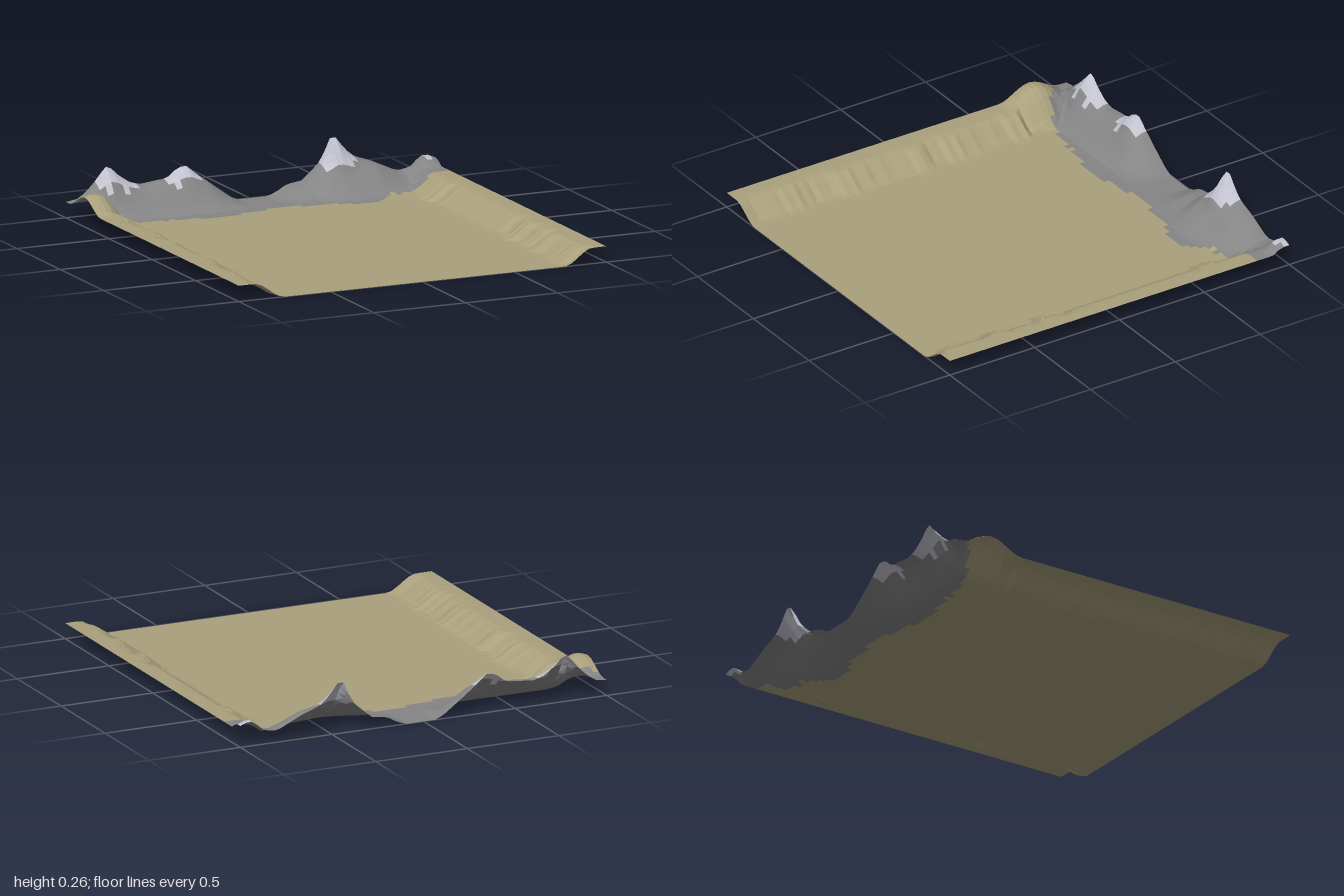
import * as THREE from 'three';

const N = 64; // grid cells per side

// Smooth interpolation through [position, value] pairs
function sample(points, t) {
  if (t <= points[0][0]) return points[0][1];
  for (let i = 1; i < points.length; i++) {
    const [a, va] = points[i - 1], [b, vb] = points[i];
    if (t <= b) return va + (vb - va) * (t - a) / (b - a);
  }
  return points[points.length - 1][1];
}
const smooth = THREE.MathUtils.smoothstep;

// Seeded value in 0..1 for an integer
function hash(i) {
  const s = Math.sin(i * 127.1 + 11.7) * 43758.5453;
  return s - Math.floor(s);
}

// Ridge heights along the back edge
const ridge = [[-1, 0.08], [-0.93, 0.09], [-0.87, 0.14], [-0.83, 0.18], [-0.79, 0.235], [-0.765, 0.24],
  [-0.73, 0.20], [-0.66, 0.15], [-0.6, 0.13], [-0.5, 0.142], [-0.45, 0.145], [-0.39, 0.195], [-0.345, 0.198],
  [-0.28, 0.145], [-0.2, 0.085], [-0.12, 0.027], [-0.07, 0], [0.1, 0], [0.15, 0.02], [0.2, 0.05], [0.28, 0.06],
  [0.33, 0.1], [0.39, 0.155], [0.435, 0.26], [0.47, 0.26], [0.52, 0.195], [0.57, 0.155], [0.66, 0.125],
  [0.8, 0.06], [0.87, 0.07], [0.92, 0.115], [0.95, 0.13], [1, 0.11]];

// Depth at which the mountain foot meets the plain
const foot = [[-1, -0.82], [-0.75, -0.78], [-0.4, -0.77], [-0.1, -0.78], [0.2, -0.75],
  [0.45, -0.7], [0.62, -0.73], [0.8, -0.78], [1, -0.78]];

// Border between bare rock and sandy ground
const border = [[-1, -0.91], [-0.9, -0.84], [-0.78, -0.79], [-0.6, -0.74], [-0.45, -0.72], [-0.4, -0.695],
  [-0.2, -0.695], [-0.1, -0.72], [0.05, -0.75], [0.25, -0.72], [0.4, -0.68], [0.5, -0.66],
  [0.57, -0.67], [0.65, -0.76], [0.8, -0.78], [1, -0.82]];

// Snowy summits: x, half width, front limit
const summits = [[-0.77, 0.07, -0.92], [-0.66, 0.05, -0.93], [-0.37, 0.09, -0.93], [0.46, 0.09, -0.92], [0.98, 0.03, -0.95]];

// Raised side banks with an eroded inner slope
function bankHeight(x, z) {
  const row = Math.round((z + 1) * N / 2), block = Math.floor(row / 3);
  const left = x < 0;
  const rough = left ? 0.045
    : (z > 0.55 || (z > 0.2 && z < 0.45) || (z < -0.45 && z > -0.65)) ? 0.05 : 0;
  const shift = (hash(block + (left ? 0 : 100)) + 0.4 * hash(row + 300) - 0.7) * rough;
  const slope = Math.abs(x) + shift * smooth(0.98 - Math.abs(x), 0, 0.08);
  return 0.08 * smooth(slope, left ? 0.755 : 0.77, 0.92);
}

function mountainHeight(x, z) {
  const top = sample(ridge, x), f = sample(foot, x);
  const base = Math.min(top, 0.13);
  const wall = 1 - smooth(z, -0.97, f);
  const peak = 1 - smooth(z, -1.04, -0.85);
  return base * wall + (top - base) * peak / (1 - smooth(-1, -1.04, -0.85));
}

// Sandy knoll in the back corner
function knollHeight(x, z) {
  const r = Math.hypot((x + 0.95) / 0.2, (z + 0.78) / 0.19);
  return r < 1 ? 0.04 * (1 + Math.cos(Math.PI * r)) : 0;
}

function height(x, z) {
  return Math.max(bankHeight(x, z) + knollHeight(x, z), mountainHeight(x, z));
}

// Which surface a grid cell belongs to
function surfaceAt(x, z, y, col) {
  if (z > sample(border, x) + 0.012 * (hash(col + 500) - 0.5)) return 'sand';
  const snowy = summits.some(([sx, w, limit]) =>
    Math.abs(x - sx) < w && z < limit + 0.03 * (hash(col + 700) - 0.5));
  return snowy && y > 0.085 ? 'snow' : 'rock';
}

export function createModel() {
  const group = new THREE.Group();
  const cells = { sand: [], rock: [], snow: [] };
  const at = i => -1 + 2 * i / N;
  const point = (i, j) => [at(i), height(at(i), at(j)), at(j)];

  // Sort every grid cell into its surface
  for (let j = 0; j < N; j++) {
    for (let i = 0; i < N; i++) {
      const a = point(i, j), b = point(i, j + 1), c = point(i + 1, j + 1), d = point(i + 1, j);
      const y = (a[1] + b[1] + c[1] + d[1]) / 4;
      cells[surfaceAt(at(i + 0.5), at(j + 0.5), y, i)].push(...a, ...b, ...c, ...a, ...c, ...d);
    }
  }

  // One mesh per ground type
  const parts = [['sandyGround', 'sand', 0xaaa07c], ['mountainRock', 'rock', 0x858585], ['mountainSnow', 'snow', 0xc2c2ce]];
  for (const [name, key, color] of parts) {
    const geometry = new THREE.BufferGeometry();
    geometry.setAttribute('position', new THREE.Float32BufferAttribute(cells[key], 3));
    geometry.computeVertexNormals();
    const material = new THREE.MeshStandardMaterial({ color, flatShading: true, side: THREE.DoubleSide });
    const mesh = new THREE.Mesh(geometry, material);
    mesh.name = name;
    group.add(mesh);
  }
  return group;
}
